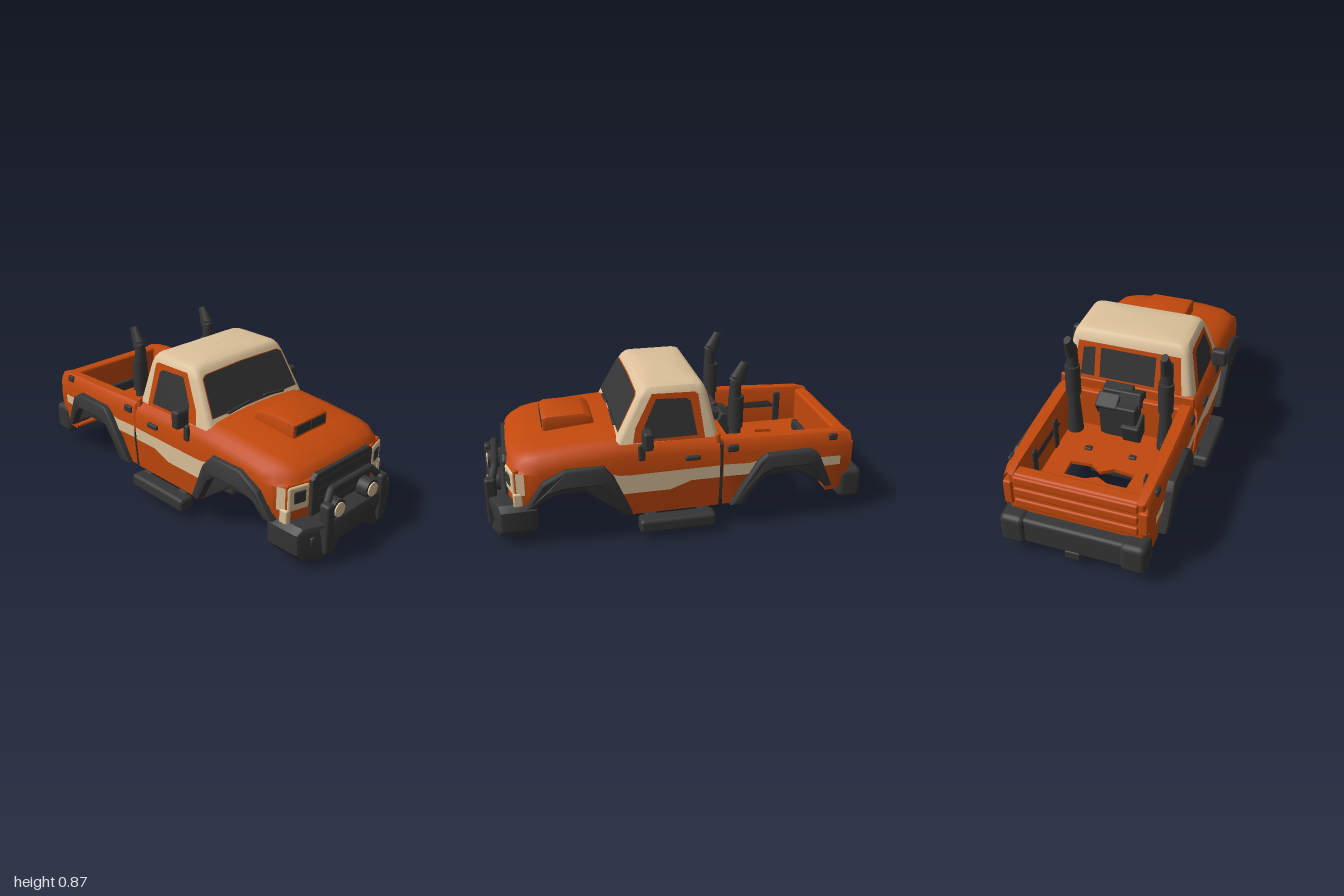
import * as THREE from 'three';
import { toCreasedNormals } from 'three/addons/utils/BufferGeometryUtils.js';
import { RoundedBoxGeometry } from 'three/addons/geometries/RoundedBoxGeometry.js';

const mat = (name, color) => new THREE.MeshStandardMaterial({ name, color, side: THREE.DoubleSide });
const V = (x, y, z) => new THREE.Vector3(x, y, z);
const both = (fn) => [1, -1].forEach(fn);
const shape = (pts) => new THREE.Shape(pts.map((p) => new THREE.Vector2(...p)));
const extrude = (pts, depth, bevel) => new THREE.ExtrudeGeometry(shape(pts),
  { depth, bevelSize: bevel, bevelThickness: bevel, bevelOffset: -bevel, bevelSegments: 2 });
// value of a piecewise linear curve
const at = (pts, x) => {
  const i = Math.max(1, pts.findIndex((p) => x <= p[0])), [a, b] = [pts[i - 1], pts[i]];
  return a[1] + (b[1] - a[1]) * Math.max(0, (x - a[0]) / (b[0] - a[0]));
};

export function createModel() {
  const truck = new THREE.Group();
  truck.name = 'pickupBody';
  const orange = mat('orangePaint', 0xc2480c), cream = mat('creamPaint', 0xdcc19a), dark = mat('darkTrim', 0x353536);
  const add = (name, geo, m) => {
    const mesh = new THREE.Mesh(geo, m);
    mesh.name = name;
    truck.add(mesh);
    return mesh;
  };
  // rounded box from its limits
  const box = (name, m, x0, x1, y0, y1, z0, z1, r = 0.01) => {
    const d = [x1 - x0, y1 - y0, z1 - z0];
    const mesh = add(name, new RoundedBoxGeometry(...d, 2, Math.min(r, Math.min(...d) / 2.1)), m);
    mesh.position.set((x0 + x1) / 2, (y0 + y1) / 2, (z0 + z1) / 2);
    return mesh;
  };
  const sideBox = (name, m, x0, x1, y0, y1, z0, z1, r, turn = 0) => both((s) => {
    box(name, m, x0, x1, y0, y1, s > 0 ? z0 : -z1, s > 0 ? z1 : -z0, r).rotation.y = -s * turn;
  });
  // skin over rows of points, one mesh per material
  const skin = (name, rows, pick, flip = false) => {
    const bins = new Map();
    for (let i = 0; i < rows.length - 1; i++) for (let j = 0; j < rows[0].length - 1; j++) {
      const m = pick(i, j), [a, b, c, d] = [rows[i][j], rows[i + 1][j], rows[i + 1][j + 1], rows[i][j + 1]];
      bins.set(m, [...(bins.get(m) ?? []), ...(flip ? [a, c, b, a, d, c] : [a, b, c, a, c, d])]);
    }
    bins.forEach((pts, m) => add(name, toCreasedNormals(new THREE.BufferGeometry().setFromPoints(pts), 0.7), m));
  };
  // flat convex polygon
  const plate = (name, m, pts) => {
    const tri = pts.slice(1, -1).flatMap((p, i) => [pts[0], p, pts[i + 2]]);
    const geo = new THREE.BufferGeometry().setFromPoints(tri);
    geo.computeVertexNormals();
    add(name, geo, m);
  };

  // painted stripe limits and the lower side, shared by the cab and the bed
  const stripeLow = [[-0.95, 0.295], [-0.2, 0.3], [-0.04, 0.3], [0.07, 0.26], [0.6, 0.26], [0.8, 0.3], [0.9, 0.3]];
  const stripeTop = [[-0.95, 0.345], [-0.2, 0.37], [0.3, 0.365], [0.8, 0.42], [0.9, 0.42]];
  const lowerSide = (x, w, yb, t) => [[0.375, yb], [0.388, at(stripeLow, x)], [0.39, at(stripeTop, x)], [0.386, t - 0.08]]
    .map(([z, y]) => [z * w, Math.max(y, yb)]);
  const half = (xs, section, s) => xs.map((x) => {
    let low = 0;
    return section(x).map(([z, y, fall]) => {
      low = fall ? y : Math.max(low, y);
      return V(x - (x > 0.8 ? 1.5 * Math.max(0, z - 0.2) ** 2 : 0), low, z * s);
    });
  });

  // cab lower half and bonnet
  const sill = [[-0.19, 0.13], [0.27, 0.13], [0.4, 0.39], [0.62, 0.39], [0.72, 0.34], [0.78, 0.24], [0.9, 0.24]];
  const deck = [[-0.19, 0.53], [0.33, 0.548], [0.5, 0.537], [0.75, 0.512], [0.83, 0.49], [0.865, 0.465], [0.88, 0.44]];
  const frontXs = [-0.19, -0.1, -0.04, 0.07, 0.2, 0.27, 0.33, 0.4, 0.5, 0.62, 0.72, 0.78, 0.845, 0.857, 0.87, 0.88];
  const frontSection = (x) => {
    const w = at([[-0.2, 1], [0.72, 1], [0.84, 0.96], [0.9, 0.9]], x), t = at(deck, x);
    return [...lowerSide(x, w, at(sill, x), t), [0.372 * w, t - 0.045], [0.345 * w, t - 0.018],
      [0.29 * w, t], [0.15, t + 0.01], [0, t + 0.013]];
  };
  both((s) => skin('cabAndBonnet', half(frontXs, frontSection, s),
    (i, j) => (j === 1 && (frontXs[i] < 0.35 || frontXs[i] > 0.84) ? cream : orange), s < 0));
  box('nosePanel', orange, 0.82, 0.88, 0.24, 0.435, -0.25, 0.25);
  sideBox('noseCorner', orange, 0.822, 0.868, 0.24, 0.435, 0.225, 0.355, 0.01, 0.27);
  box('cabFloor', orange, -0.19, 0.3, 0.125, 0.15, -0.37, 0.37);
  box('cabBackPanel', orange, -0.195, -0.17, 0.13, 0.54, -0.37, 0.37);
  box('bedGapFiller', dark, -0.215, -0.185, 0.15, 0.48, -0.365, 0.365);

  // load bed sides with top rails
  const bedSill = [[-0.95, 0.2], [-0.92, 0.2], [-0.88, 0.14], [-0.79, 0.14], [-0.7, 0.38], [-0.42, 0.38], [-0.28, 0.13], [-0.2, 0.13]];
  const bedXs = [-0.92, -0.86, -0.79, -0.74, -0.7, -0.56, -0.42, -0.35, -0.28, -0.21];
  const bedSection = (x) => {
    const w = at([[-0.92, 0.94], [-0.86, 0.965], [-0.5, 1], [-0.2, 0.99]], x);
    const t = at([[-0.92, 0.465], [-0.86, 0.48], [-0.2, 0.505]], x);
    return [...lowerSide(x, w, at(bedSill, x), t), [0.378 * w, t - 0.02], [0.36 * w, t], [0.305, t],
      [0.295, t - 0.02, 1], [0.285, 0.27, 1]];
  };
  both((s) => skin('bedSide', half(bedXs, bedSection, s), (i, j) => (j === 1 && i > 0 ? cream : orange), s < 0));
  // bed floor with its opening, end walls and fittings
  const floor = shape([[-0.9, -0.29], [-0.21, -0.29], [-0.21, 0.29], [-0.9, 0.29]]);
  floor.holes.push(shape([[-0.66, -0.17], [-0.56, -0.17], [-0.55, -0.06], [-0.59, 0], [-0.55, 0.06], [-0.56, 0.17],
    [-0.66, 0.16], [-0.66, 0.06], [-0.63, 0], [-0.66, -0.06]]));
  add('bedFloor', new THREE.ExtrudeGeometry(floor, { depth: 0.02, bevelEnabled: false }).rotateX(Math.PI / 2), orange).position.y = 0.28;
  box('bedFrontWall', orange, -0.25, -0.21, 0.14, 0.5, -0.33, 0.33);
  box('tailgate', orange, -0.92, -0.85, 0.15, 0.465, -0.34, 0.34, 0.015);
  box('rearApron', orange, -0.88, -0.79, 0.14, 0.16, -0.35, 0.35);
  [0.29, 0.36, 0.43].forEach((y) => box('tailgateRib', orange, -0.932, -0.91, y - 0.025, y + 0.025, -0.31, 0.31));
  sideBox('tailLamp', orange, -0.935, -0.88, 0.28, 0.42, 0.315, 0.36);
  box('tailgateSlot', dark, -0.81, -0.78, 0.28, 0.34, -0.15, 0.15);
  [-0.73, -0.48].forEach((x) => sideBox('bedPost', dark, x - 0.02, x + 0.02, 0.28, 0.46, 0.277, 0.292));
  sideBox('bedAnchor', dark, -0.46, -0.43, 0.28, 0.295, 0.1, 0.14);
  sideBox('rearLatch', dark, -0.835, -0.785, 0.44, 0.478, 0.355, 0.377);
  sideBox('frontLatch', dark, -0.29, -0.23, 0.435, 0.475, 0.365, 0.39);

  // cab upper half
  const levels = [[0.52, -0.19, 0.345, 0.355, 0.03], [0.74, -0.138, 0.228, 0.318, 0.03], [0.775, -0.125, 0.207, 0.309, 0.035],
    [0.793, -0.113, 0.193, 0.296, 0.04], [0.801, -0.095, 0.178, 0.26, 0.04], [0.809, -0.03, 0.12, 0.12, 0.03], [0.811, 0.04, 0.041, 0.001, 0]];
  skin('cabTop', levels.map(([y, x0, x1, z, r]) => Array.from({ length: 17 }, (_, n) => {
    const q = Math.floor(n / 4) % 4, a = (q + (n % 4) / 3) * Math.PI / 2;
    const cx = q === 0 || q === 3 ? x1 - r : x0 + r, cz = q < 2 ? z - r : r - z;
    return V(cx + r * Math.cos(a), y, cz + r * Math.sin(a));
  })), () => cream);
  // glazing and painted window frames
  const onSide = (s, out) => ([x, y]) => V(x, y, s * (0.355 - 0.168 * (y - 0.52) + out));
  const onFront = (out) => ([z, y]) => V(0.345 - 0.532 * (y - 0.52) + out, y, z);
  const onBack = (out) => ([z, y]) => V(-0.19 + 0.236 * (y - 0.52) - out, y, z);
  both((s) => {
    const order = (pts) => (s > 0 ? pts.reverse() : pts);
    plate('doorFrame', orange, order([[-0.115, 0.52], [-0.085, 0.745], [-0.07, 0.76], [0.15, 0.765], [0.24, 0.6], [0.255, 0.525]].map(onSide(s, 0.004))));
    plate('sideWindow', dark, order([[-0.075, 0.54], [-0.045, 0.715], [-0.025, 0.733], [0.13, 0.74], [0.195, 0.61], [0.195, 0.54]].map(onSide(s, 0.008))));
    plate('rearQuarterWindow', dark, [[0.18, 0.56], [0.255, 0.56], [0.245, 0.71], [0.18, 0.72]].map(([z, y]) => [s * z, y]).map(onBack(0.008)));
    box('wiper', dark, 0.32, 0.335, 0.572, 0.588, s * 0.13 - 0.08, s * 0.13 + 0.08).rotation.x = s * 0.12;
  });
  const screen = [[0.31, 0.572], [-0.31, 0.572], [-0.285, 0.745], [-0.26, 0.76], [0, 0.766], [0.26, 0.76], [0.285, 0.745]];
  plate('windscreen', dark, screen.map(onFront(0.007)));
  plate('windscreenSeal', orange, screen.map(([z, y]) => [z * 1.012, 0.67 + (y - 0.67) * 1.03]).map(onFront(0.004)));
  plate('rearFrame', orange, [[-0.3, 0.53], [0.3, 0.53], [0.275, 0.74], [-0.275, 0.74]].map(onBack(0.004)));
  plate('rearWindow', dark, [[-0.15, 0.56], [0.15, 0.56], [0.15, 0.72], [-0.15, 0.72]].map(onBack(0.008)));

  // wheel arch flares, drawn in towards their ends and upper edge, with deeper wells inside
  const frontArch = [[0.27, 0.155], [0.36, 0.37], [0.41, 0.435], [0.6, 0.435], [0.72, 0.375], [0.8, 0.24]];
  const rearArch = [[-0.81, 0.19], [-0.725, 0.385], [-0.68, 0.415], [-0.44, 0.415], [-0.395, 0.385], [-0.25, 0.13]];
  const arches = [
    ['frontFlare', [...frontArch, [0.755, 0.24], [0.69, 0.315], [0.6, 0.34], [0.45, 0.34], [0.4, 0.3], [0.325, 0.155]], 0.118],
    ['rearFlare', [...rearArch, [-0.315, 0.13], [-0.42, 0.31], [-0.47, 0.335], [-0.65, 0.335], [-0.7, 0.3], [-0.765, 0.19]], 0.118],
    ['frontWell', [...frontArch, [0.76, 0.22], [0.7, 0.26], [0.63, 0.285], [0.5, 0.28], [0.42, 0.22], [0.34, 0.155]], 0.06],
    ['rearWell', [...rearArch, [-0.35, 0.14], [-0.42, 0.24], [-0.47, 0.27], [-0.63, 0.27], [-0.71, 0.23], [-0.765, 0.19]], 0.06]];
  arches.forEach(([name, pts, depth]) => both((s) => {
    const geo = extrude(pts, depth, 0.012), p = geo.attributes.position, mid = (pts[2][0] + pts[3][0]) / 2;
    for (let i = 0; i < p.count; i++) if (p.getZ(i) > 0.08)
      p.setZ(i, p.getZ(i) - 0.3 * Math.max(0, p.getY(i) - 0.37) - 0.3 * (p.getX(i) - mid) ** 2);
    const arch = add(name, toCreasedNormals(geo, 0.5), dark);
    arch.position.z = s * 0.302;
    arch.scale.z = s;
  }));
  box('engineBay', dark, 0.36, 0.76, 0.28, 0.4, -0.31, 0.31);
  sideBox('rearWellFloor', dark, -0.7, -0.42, 0.245, 0.275, 0.2, 0.31);

  // bonnet scoop
  const scoop = [[0.41, 0.53], [0.43, 0.585], [0.47, 0.61], [0.66, 0.608], [0.685, 0.595], [0.685, 0.5]];
  add('bonnetScoop', toCreasedNormals(extrude(scoop, 0.23, 0.012), 0.6), orange).position.z = -0.115;
  sideBox('scoopMouth', dark, 0.68, 0.688, 0.54, 0.589, 0.002, 0.11, 0.003);
  // grille, headlamps and indicators
  const grille = [[-0.23, 0.2], [0.23, 0.2], [0.23, 0.43], [0.2, 0.455], [-0.2, 0.455], [-0.23, 0.43]];
  add('grille', extrude(grille, 0.05, 0.008).rotateY(Math.PI / 2), dark).position.x = 0.84;
  [0.26, 0.31, 0.36, 0.41].forEach((y) => box('grilleBar', dark, 0.88, 0.9, y - 0.016, y + 0.016, -0.19, 0.19));
  sideBox('headlampSurround', cream, 0.84, 0.876, 0.295, 0.425, 0.235, 0.353, 0.012, 0.27);
  sideBox('headlampGlass', dark, 0.86, 0.881, 0.332, 0.4, 0.258, 0.328, 0.01, 0.27);
  sideBox('indicator', cream, 0.815, 0.862, 0.235, 0.31, 0.333, 0.368, 0.01);

  // front bumper, swept back at the ends
  const bumperHalf = [[0.12, 0.11], [0.16, 0.05], [0.24, 0.05], [0.32, 0.05], [0.365, 0.1], [0.37, 0.21], [0.34, 0.24], [0.22, 0.24]];
  const bumper = extrude([...bumperHalf, ...bumperHalf.map(([z, y]) => [-z, y]).reverse()], 0.16, 0.015).rotateY(Math.PI / 2);
  const bp = bumper.attributes.position;
  for (let i = 0; i < bp.count; i++) bp.setX(i, bp.getX(i) - Math.max(0, Math.abs(bp.getZ(i)) - 0.22) * 0.4);
  add('frontBumper', toCreasedNormals(bumper, 0.5), dark).position.x = 0.815;
  box('bumperUnderside', orange, 0.82, 0.93, 0.077, 0.13, -0.125, 0.125);
  sideBox('bumperHook', dark, 0.93, 0.965, 0.135, 0.18, 0.27, 0.3);
  // bull bar with spot lamps
  sideBox('bullBarUpright', dark, 0.94, 0.998, 0.07, 0.335, 0.18, 0.235, 0.015);
  const hp = [[0.965, 0.3, -0.205], [0.955, 0.335, -0.19], [0.94, 0.375, -0.15], [0.94, 0.375, 0.15], [0.955, 0.335, 0.19], [0.965, 0.3, 0.205]];
  const hoop = new THREE.CurvePath();
  hp.slice(1).forEach((p, i) => hoop.add(new THREE.LineCurve3(V(...hp[i]), V(...p))));
  add('bullBarHoop', new THREE.TubeGeometry(hoop, 50, 0.019, 8), dark);
  both((s) => [['spotLamp', dark, 0.05, 0.06, 0.95], ['spotLens', cream, 0.037, 0.008, 0.983]].forEach(([n, m, r, h, x]) =>
    add(n, new THREE.CylinderGeometry(r, r, h, 24).rotateZ(-Math.PI / 2), m).position.set(x, 0.275, s * 0.13)));

  // rear bumper and tow hitch
  sideBox('rearBumperEnd', dark, -1, -0.87, 0.08, 0.248, 0.24, 0.37, 0.03);
  box('rearBumper', dark, -0.985, -0.88, 0.09, 0.24, -0.3, 0.3, 0.02);
  box('towHitch', dark, -0.99, -0.86, 0.06, 0.11, -0.04, 0.04);
  // mirrors, handles and side steps
  sideBox('mirror', dark, 0.165, 0.215, 0.513, 0.61, 0.365, 0.447, 0.015);
  sideBox('mirrorArm', dark, 0.2, 0.235, 0.44, 0.53, 0.378, 0.4);
  sideBox('doorHandle', dark, -0.085, -0.005, 0.415, 0.442, 0.38, 0.402);
  sideBox('sideStep', dark, -0.16, 0.24, 0.05, 0.125, 0.365, 0.455, 0.02);
  [-0.11, 0.17].forEach((x) => sideBox('stepBracket', dark, x - 0.03, x + 0.03, 0.09, 0.13, 0.3, 0.39));

  // chimney pipes behind the cab: name, top and bottom radius, bottom and top height, x, tilt, width
  both((s) => {
    [['pipeBase', 0.028, 0.045, 0.27, 0.53, -0.305, 0, 1], ['pipeGuard', 0.04, 0.04, 0.52, 0.69, -0.305, 0, 1],
      ['pipeNeck', 0.027, 0.031, 0.69, 0.8, -0.298, 0, 1], ['pipeTip', 0.018, 0.031, 0.765, 0.872, -0.325, 0.42, 1.35],
    ].forEach(([n, r1, r0, y0, y1, x, tilt, wide]) => {
      const p = add(n, new THREE.CylinderGeometry(r1, r0, y1 - y0, 16).scale(wide, 1, 1).rotateZ(tilt), dark);
      p.position.set(x, (y0 + y1) / 2, s * 0.25);
    });
  });
  // machinery behind the cab
  [[-0.26, 0.41, 0, 0.15, 0.2, 0.2, 0.1], [-0.29, 0.48, -0.06, 0.09, 0.09, 0.12, 0.5], [-0.24, 0.5, 0.05, 0.1, 0.09, 0.12, -0.4],
    [-0.28, 0.35, 0.07, 0.12, 0.12, 0.1, 0.3], [-0.22, 0.52, -0.03, 0.07, 0.06, 0.16, 0.2]].forEach(([x, y, z, w, h, d, a]) => {
    box('machinery', dark, x - w / 2, x + w / 2, y - h / 2, y + h / 2, z - d / 2, z + d / 2).rotation.z = a;
  });
  // gearbox and drive line underneath
  box('gearbox', dark, -0.2, 0.2, 0.01, 0.12, -0.11, 0.11, 0.03);
  for (let i = 0; i < 8; i++) box('gearboxRib', dark, -0.21 + i * 0.055, -0.185 + i * 0.055, 0.003 + Math.abs(i - 3.5) * 0.006, 0.1, -0.12, 0.12);
  box('rearMount', dark, -0.38, -0.27, 0.05, 0.14, -0.15, 0.15, 0.02);
  box('frontMount', dark, 0.23, 0.31, 0.05, 0.13, -0.15, 0.15, 0.02);
  box('driveShaft', dark, -0.38, 0.31, 0.05, 0.12, -0.05, 0.05, 0.02);
  box('shaftRise', dark, -0.3, -0.22, 0.1, 0.35, -0.1, 0.1, 0.02);
  return truck;
}
